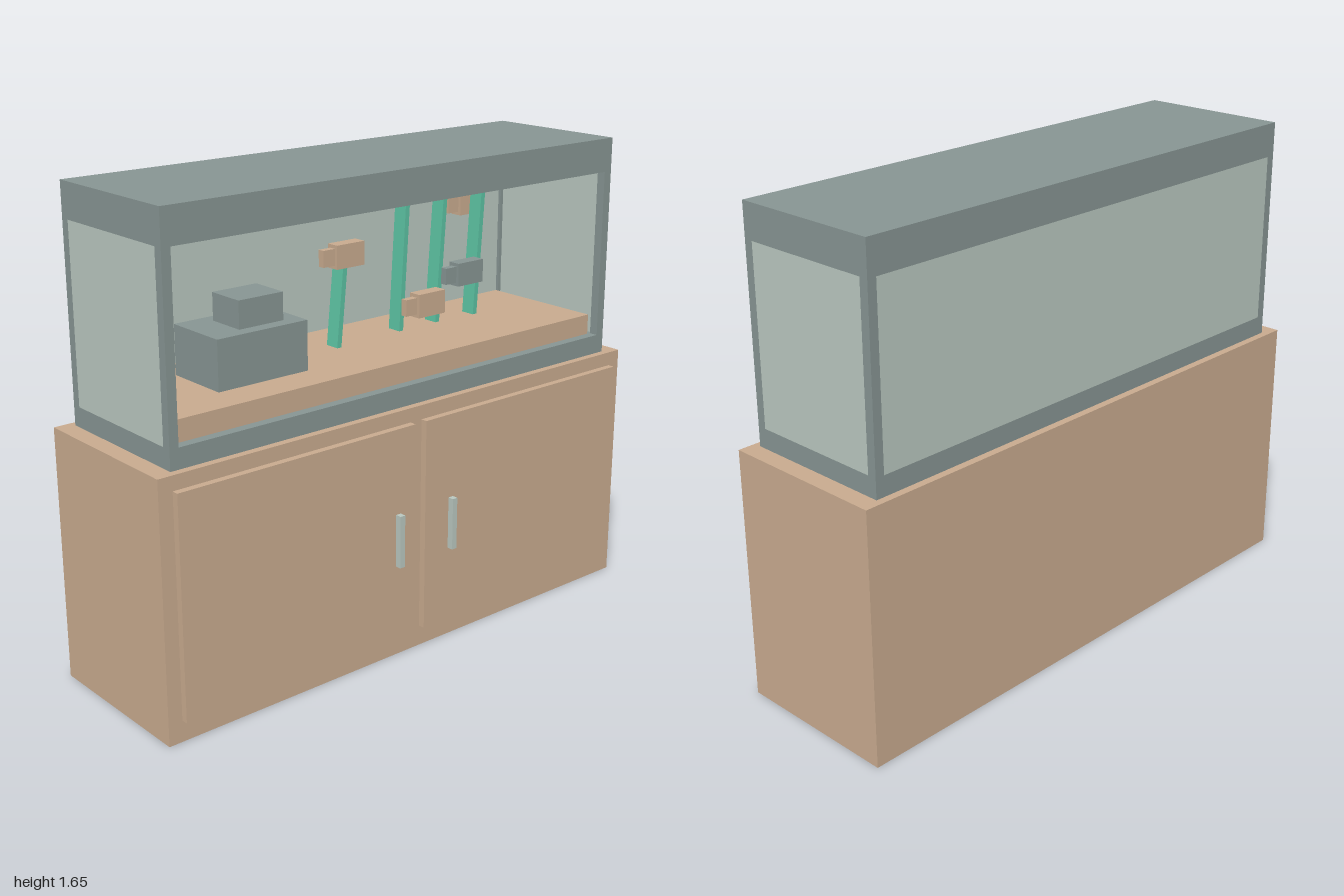
import * as THREE from 'three';

const material = (name, color) => {
  const m = new THREE.MeshStandardMaterial({ color });
  m.name = name;
  return m;
};

export function createModel() {
  const wood = material('wood', 0xc9ab8f);
  const slate = material('slate', 0x879593);
  const glass = material('paleGlass', 0xbac8c0);
  const green = material('plantGreen', 0x5cc2a2);

  const model = new THREE.Group();
  model.name = 'aquariumOnCabinet';

  // Box given by its limits along each axis
  const box = (name, mat, [x0, x1], [y0, y1], [z0, z1], parent = model) => {
    const mesh = new THREE.Mesh(new THREE.BoxGeometry(x1 - x0, y1 - y0, z1 - z0), mat);
    mesh.position.set((x0 + x1) / 2, (y0 + y1) / 2, (z0 + z1) / 2);
    mesh.name = name;
    parent.add(mesh);
    return mesh;
  };
  const group = (name) => {
    const g = new THREE.Group();
    g.name = name;
    model.add(g);
    return g;
  };
  const mirrored = (s, a, b) => (s > 0 ? [a, b] : [-b, -a]);

  // Cabinet with two doors and bar handles standing clear of them
  const cabinet = group('cabinet');
  box('cabinetBody', wood, [-1, 1], [0, 0.872], [-0.328, 0.26], cabinet);
  for (const s of [-1, 1]) {
    const side = s > 0 ? 'left' : 'right';
    box(side + 'Door', wood, mirrored(s, 0.024, 0.95), [0.073, 0.823], [0.26, 0.284], cabinet);
    box(side + 'Handle', glass, mirrored(s, 0.107, 0.127), [0.357, 0.54], [0.308, 0.33], cabinet);
  }

  // Tank frame: base, lid and four corner posts
  const tank = group('tank');
  const X = 0.938, zBack = -0.302, zFront = 0.234, post = 0.032;
  const opening = [0.94, 1.533];
  box('tankBase', slate, [-X, X], [0.872, opening[0]], [zBack, zFront], tank);
  box('tankLid', slate, [-X, X], [opening[1], 1.65], [zBack, zFront], tank);
  for (const s of [-1, 1]) {
    const side = s > 0 ? 'left' : 'right';
    box(side + 'FrontPost', slate, mirrored(s, X - post, X), opening, [zFront - post, zFront], tank);
    box(side + 'BackPost', slate, mirrored(s, X - post, X), opening, [zBack, zBack + post], tank);
    box(side + 'Pane', glass, mirrored(s, X - 0.02, X), opening, [zBack + post, zFront - post], tank);
  }
  box('backPane', glass, [-X + post, X - post], opening, [zBack, zBack + 0.02], tank);

  // Gravel bed and stacked rocks
  box('gravelBed', wood, [-0.893, 0.893], [0.94, 1.012], [-0.27, 0.2]);
  box('lowerRock', slate, [-0.648, -0.3], [1.012, 1.18], [-0.16, 0.073]);
  box('upperRock', slate, [-0.532, -0.36], [1.18, 1.273], [-0.113, 0.027]);

  // Leaning plant stalks: base x, base z, height, lean
  [
    [-0.062, -0.085, 0.33, 0.1],
    [0.234, -0.105, 0.54, 0.06],
    [0.41, -0.11, 0.45, 0.07],
    [0.586, -0.1, 0.55, 0.067],
  ].forEach(([x, z, h, lean], i) => {
    const geo = new THREE.BoxGeometry(0.018, h, 0.055).translate(0, h / 2, 0);
    const stalk = new THREE.Mesh(geo, green);
    stalk.position.set(x, 1.01, z);
    stalk.rotation.z = -lean;
    stalk.name = 'plantStalk' + (i + 1);
    model.add(stalk);
  });

  // Block fish: tail tip x, centre y, centre z
  [
    [-0.167, 1.34, -0.02, wood],
    [0.068, 1.164, 0.12, wood],
    [0.303, 1.222, 0.06, slate],
    [0.538, 1.4, -0.18, wood],
  ].forEach(([x, y, z, mat], i) => {
    const fish = group('fish' + (i + 1));
    box('fishBody', mat, [x + 0.048, x + 0.164], [y - 0.04, y + 0.04], [z - 0.023, z + 0.023], fish);
    box('fishTail', mat, [x, x + 0.05], [y - 0.028, y + 0.028], [z - 0.012, z + 0.012], fish);
  });

  return model;
}
